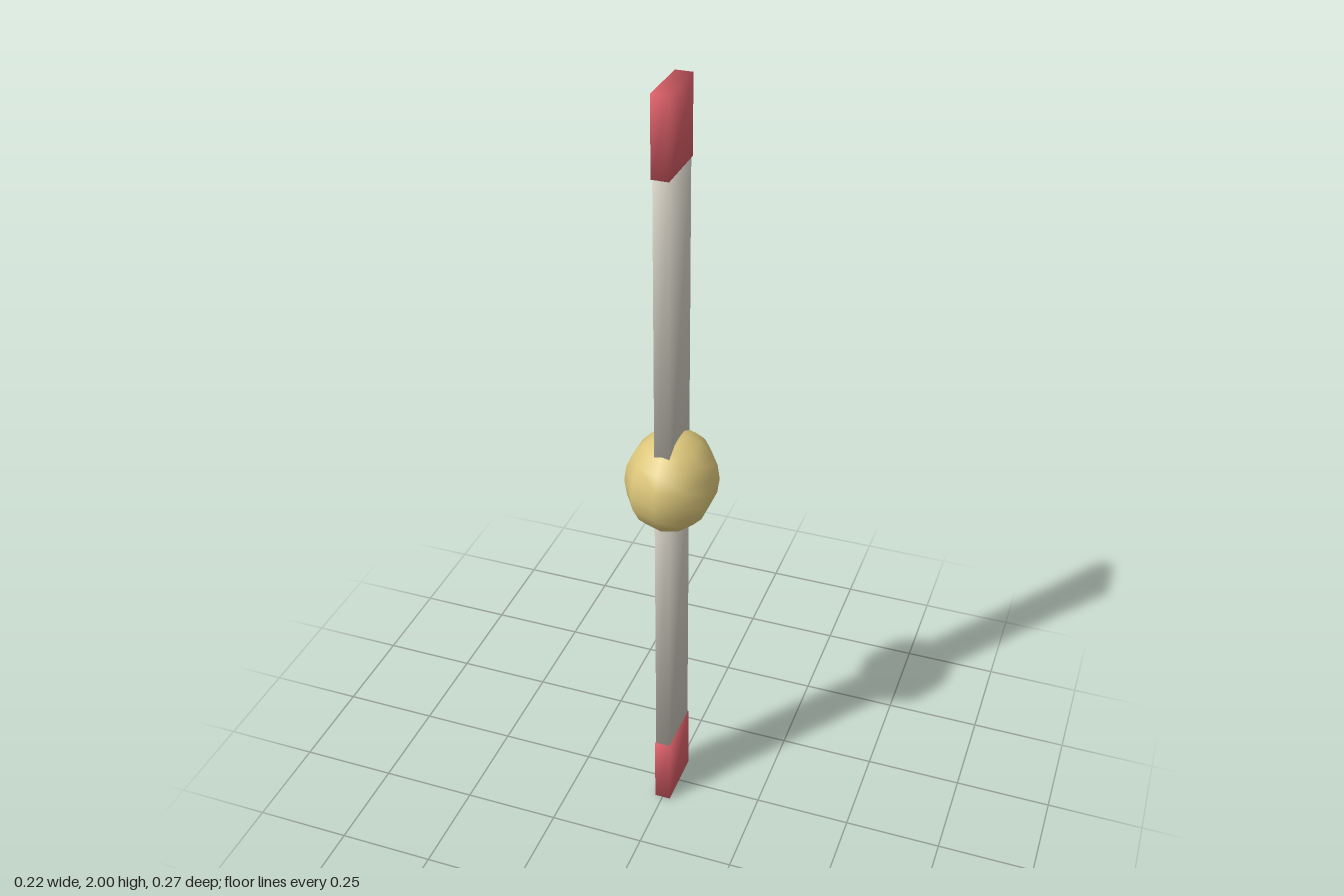
import * as THREE from 'three';

const red = new THREE.MeshStandardMaterial({ name: 'red', color: 0xdb5f68 });
const grey = new THREE.MeshStandardMaterial({ name: 'warm grey', color: 0xd0ccc0 });
const gold = new THREE.MeshStandardMaterial({ name: 'gold', color: 0xdcc67a });

// Box shaded smoothly: each corner normal points out along the diagonal
function softBox(w, h, d) {
  const geo = new THREE.BoxGeometry(w, h, d);
  const p = geo.attributes.position;
  const n = geo.attributes.normal;
  const v = new THREE.Vector3();
  for (let i = 0; i < p.count; i++) {
    v.set(Math.sign(p.getX(i)), Math.sign(p.getY(i)), Math.sign(p.getZ(i))).normalize();
    n.setXYZ(i, v.x, v.y, v.z);
  }
  return geo;
}

export function createModel() {
  const model = new THREE.Group();
  model.name = 'propeller';

  const add = (name, geo, material, y) => {
    const mesh = new THREE.Mesh(geo, material);
    mesh.name = name;
    mesh.position.y = y;
    model.add(mesh);
  };

  // Ten-sided hub, narrower across than deep, with a corner facing front
  const hub = new THREE.SphereGeometry(1, 10, 10);
  hub.rotateY(Math.PI / 2);
  hub.scale(0.1145, 0.129, 0.133);
  add('hub', hub, gold, 1);

  // A blade and its painted tip above and below the hub
  for (const [side, s] of [['upper', 1], ['lower', -1]]) {
    add(side + 'Blade', softBox(0.038, 0.81, 0.144), grey, 1 + s * 0.405);
    add(side + 'Tip', softBox(0.042, 0.19, 0.153), red, 1 + s * 0.905);
  }
  return model;
}
